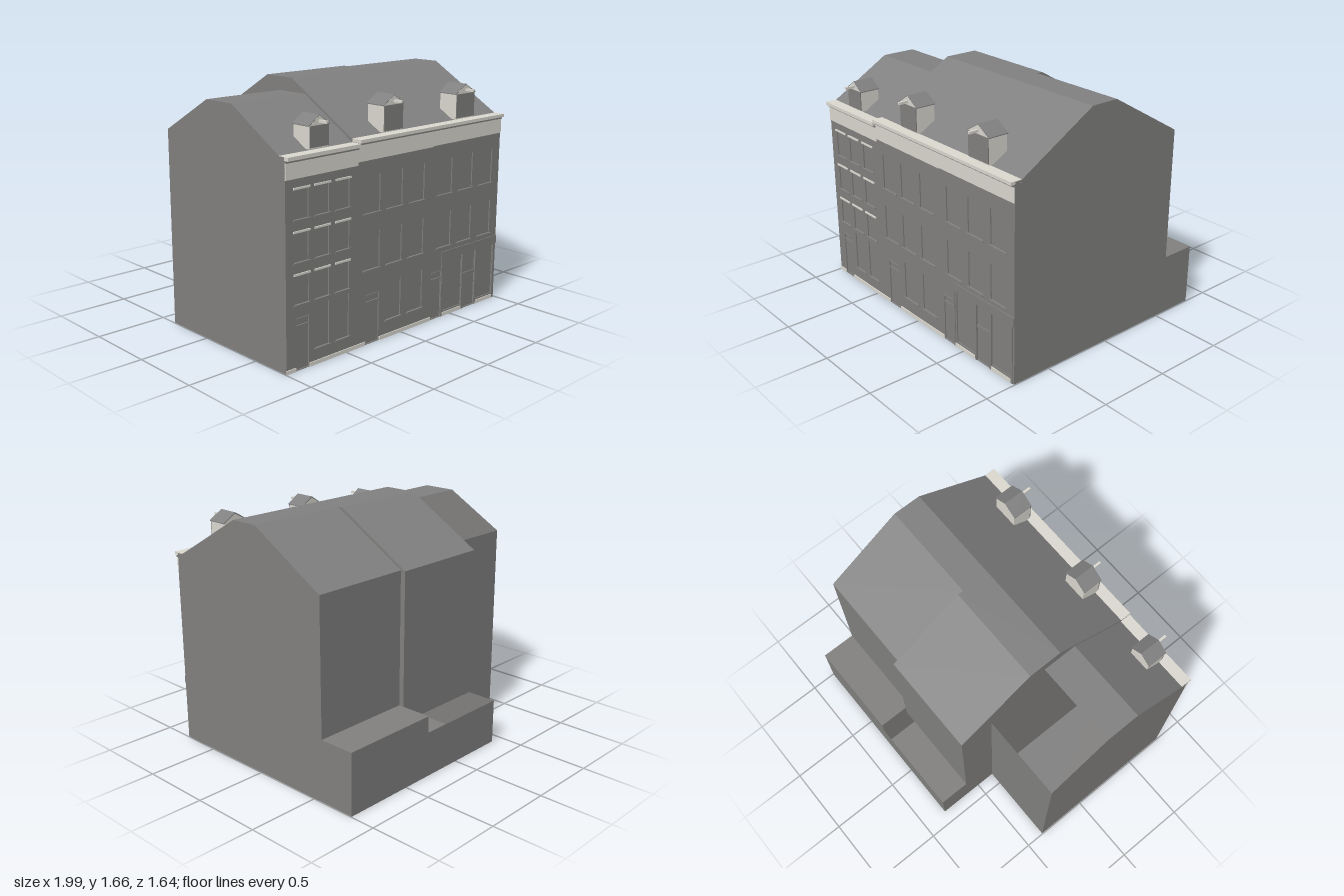
import * as THREE from 'three';

const mat = (name, color) =>
  Object.assign(new THREE.MeshStandardMaterial({ color, side: THREE.DoubleSide }), { name });

export function createModel() {
  const root = new THREE.Group();
  root.name = 'terraceOfHouses';
  const wall = mat('grey wall', 0x81807f);
  const roofMat = mat('grey roof', 0x808080);
  const cream = mat('cream trim', 0xdad8cf);
  const FRONT = 0.78;

  const add = (name, geo, m, parent = root) => {
    const mesh = new THREE.Mesh(geo, m);
    mesh.name = name;
    parent.add(mesh);
    return mesh;
  };
  // box given by its limits
  const box = (name, x0, x1, y0, y1, z0, z1, m, parent) =>
    add(name, new THREE.BoxGeometry(x1 - x0, y1 - y0, z1 - z0)
      .translate((x0 + x1) / 2, (y0 + y1) / 2, (z0 + z1) / 2), m, parent);
  // surface following [z, y] points, swept from x0 to x1
  const strip = (name, pts, x0, x1, m) => {
    const pos = [];
    for (let i = 0; i < pts.length - 1; i++) {
      const [za, ya] = pts[i], [zb, yb] = pts[i + 1];
      pos.push(x0, ya, za, x1, ya, za, x1, yb, zb, x0, ya, za, x1, yb, zb, x0, yb, zb);
    }
    const g = new THREE.BufferGeometry();
    g.setAttribute('position', new THREE.Float32BufferAttribute(pos, 3));
    g.computeVertexNormals();
    return add(name, g, m);
  };
  // flat side wall with a [z, y] outline
  const gable = (name, pts, x) => {
    const mesh = add(name, new THREE.ShapeGeometry(
      new THREE.Shape(pts.map(([z, y]) => new THREE.Vector2(z, y)))), wall);
    mesh.rotation.y = -Math.PI / 2;
    mesh.position.x = x;
  };

  // Left house: its rear roof slope is open
  const leftRoof = [[0.73, 1.32], [0.305, 1.57], [0.06, 1.57]];
  const leftSide = [[0.775, 0], [0.775, 1.32], ...leftRoof, [-0.365, 1.33], [-0.365, 0]];
  strip('leftHouseRoof', leftRoof, -0.995, -0.41, roofMat);
  strip('leftHouseBackWall', [[-0.365, 1.33], [-0.365, 0], [0.775, 0]], -0.995, -0.41, wall);
  gable('leftHouseGable', leftSide, -0.995);

  // Middle house with a lower open-topped annex
  const midRoof = [[0.73, 1.34], [0.18, 1.66], [-0.06, 1.66], [-0.605, 1.34]];
  const midBack = [[-0.82, 0.31], [-0.82, 0], [0.775, 0]];
  strip('middleHouseRoof', midRoof, -0.41, 0.29, roofMat);
  strip('middleHouseBackWall', [[-0.605, 1.34], [-0.605, 0.31]], -0.41, 0.29, wall);
  strip('middleAnnex', midBack, -0.41, 0.29, wall);
  const midSide = [[0.775, 0], [0.775, 1.34], ...midRoof, [-0.605, 0.31], [-0.82, 0.31], [-0.82, 0]];
  gable('middleHouseLeftGable', midSide, -0.41);
  gable('middleHousePartyWall', midSide, 0.289);

  // Right house with a flat-roofed annex
  const rightRoof = [[0.73, 1.34], [0.18, 1.66], [-0.02, 1.66], [-0.57, 1.34]];
  const rightBack = [[-0.57, 1.34], [-0.57, 0.425], [-0.82, 0.425], [-0.82, 0], [0.775, 0]];
  const rightSide = [[0.775, 0], [0.775, 1.34], ...rightRoof, ...rightBack.slice(1, 4)];
  strip('rightHouseRoof', rightRoof, 0.29, 0.995, roofMat);
  strip('rightHouseBackAndAnnex', rightBack, 0.29, 0.995, wall);
  gable('rightHouseGable', rightSide, 0.995);
  gable('rightHousePartyWall', rightSide, 0.291);

  // Openings as [x0, x1, y0, y1]
  const windowsLeft = [], windowsMain = [], doors = [];
  for (const y of [0.42, 0.68, 0.94])
    for (const x of [-0.925, -0.76, -0.59]) windowsLeft.push([x, x + 0.11, y, y + 0.18]);
  for (const y of [0.5, 0.868])
    for (const x of [-0.35, -0.145, 0.065, 0.345, 0.56, 0.775])
      windowsMain.push([x, x + 0.14, y, y + 0.24]);
  const groundWindows = [[-0.76, -0.65, 0.105, 0.385], [-0.59, -0.48, 0.105, 0.385],
    [-0.145, -0.005, 0.12, 0.385], [0.065, 0.205, 0.12, 0.385]];
  doors.push([-0.915, -0.815, 0.005, 0.33], [-0.33, -0.21, 0.005, 0.33], [0.3, 0.4, 0.005, 0.33]);
  const shop = [[0.43, 0.62, 0.035, 0.4], [0.635, 0.765, 0.005, 0.24],
    [0.635, 0.765, 0.26, 0.4], [0.78, 0.965, 0.035, 0.4]];
  const openings = [...windowsLeft, ...windowsMain, ...groundWindows, ...doors, ...shop];

  // Facades with cut openings, and panes set back inside them
  const rectangle = (P, [x0, x1, y0, y1]) => {
    const p = new P();
    p.moveTo(x0, y0).lineTo(x1, y0).lineTo(x1, y1).lineTo(x0, y1).closePath();
    return p;
  };
  for (const [name, x0, x1, top] of [['leftFacade', -0.995, -0.41, 1.3], ['mainFacade', -0.41, 0.995, 1.33]]) {
    const shape = rectangle(THREE.Shape, [x0, x1, 0, top]);
    shape.holes = openings.filter(o => o[0] > x0 && o[1] < x1).map(o => rectangle(THREE.Path, o));
    add(name, new THREE.ExtrudeGeometry(shape, { depth: 0.01, bevelEnabled: false })
      .translate(0, 0, FRONT - 0.01), wall);
  }
  openings.forEach(([x0, x1, y0, y1]) =>
    add('openingPane', new THREE.PlaneGeometry(x1 - x0, y1 - y0)
      .translate((x0 + x1) / 2, (y0 + y1) / 2, FRONT - 0.008), wall));

  // Sills, lintels and door heads
  const sill = ([x0, x1, y0]) =>
    box('windowSill', x0 - 0.012, x1 + 0.012, y0 - 0.008, y0, FRONT, FRONT + 0.008, wall);
  [...windowsLeft, ...windowsMain, ...groundWindows].forEach(sill);
  windowsLeft.forEach(([x0, x1, , y1]) =>
    box('windowLintel', x0 - 0.01, x1 + 0.01, y1, y1 + 0.012, FRONT, FRONT + 0.008, cream));
  doors.forEach(([x0, x1, , y1]) => {
    box('doorHead', x0, x1, y1, y1 + 0.006, FRONT, FRONT + 0.006, wall);
    box('doorTransom', x0, x1, y1 - 0.05, y1 - 0.042, FRONT - 0.01, FRONT, wall);
  });

  // Shopfront fascia and posts
  box('shopFascia', 0.4, 0.995, 0.405, 0.465, FRONT, FRONT + 0.006, wall);
  for (const x of [0.402, 0.621, 0.766, 0.967])
    box('shopPost', x, x + 0.014, 0, 0.405, FRONT, FRONT + 0.005, wall);

  // Plinth between the doors
  for (const [a, b] of [[-0.995, -0.92], [-0.81, -0.335], [-0.205, 0.295], [0.416, 0.621], [0.78, 0.967]])
    box('plinth', a, b, 0, 0.025, FRONT, FRONT + 0.006, cream);

  // Frieze and gutter cornice
  for (const [x0, x1, f0, f1, top] of [[-0.995, -0.41, 1.185, 1.285, 1.322],
    [-0.41, 0.285, 1.205, 1.31, 1.345], [0.285, 0.995, 1.21, 1.31, 1.345]]) {
    box('frieze', x0, x1, f0, f1, FRONT - 0.01, FRONT + 0.006, cream);
    box('corniceShadowGap', x0, x1, f1, f1 + 0.014, 0.76, FRONT + 0.012, wall);
    box('gutter', x0, x1, f1 + 0.014, top, 0.73, 0.808, cream);
  }

  // Dormers with gabled roofs and hoisting beams
  for (const [x, half, y0, eave, apex] of [[-0.703, 0.083, 1.33, 1.47, 1.528],
    [-0.07, 0.093, 1.35, 1.522, 1.582], [0.635, 0.1, 1.35, 1.522, 1.582]]) {
    const g = new THREE.Group();
    g.name = 'dormer';
    root.add(g);
    const w = half - 0.008;
    box('dormerBody', x - w, x + w, y0, eave, 0.61, 0.748, cream, g);
    box('dormerWindow', x - w, x + w, y0 + 0.008, eave - 0.004, 0.748, 0.754, wall, g);
    const tri = new THREE.Shape([new THREE.Vector2(x - w, eave),
      new THREE.Vector2(x + w, eave), new THREE.Vector2(x, apex - 0.004)]);
    add('dormerPediment', new THREE.ExtrudeGeometry(tri, { depth: 0.145, bevelEnabled: false })
      .translate(0, 0, 0.609), cream, g);
    const slopes = new THREE.Shape([[-half, eave - 0.006], [0, apex - 0.008], [half, eave - 0.006],
      [half, eave], [0, apex], [-half, eave]].map(([a, b]) => new THREE.Vector2(x + a, b)));
    add('dormerRoof', new THREE.ExtrudeGeometry(slopes, { depth: 0.146, bevelEnabled: false })
      .translate(0, 0, 0.607), roofMat, g);
    box('hoistBeam', x - 0.008, x + 0.008, eave + 0.012, eave + 0.028, 0.75, 0.82, cream, g);
  }
  return root;
}
